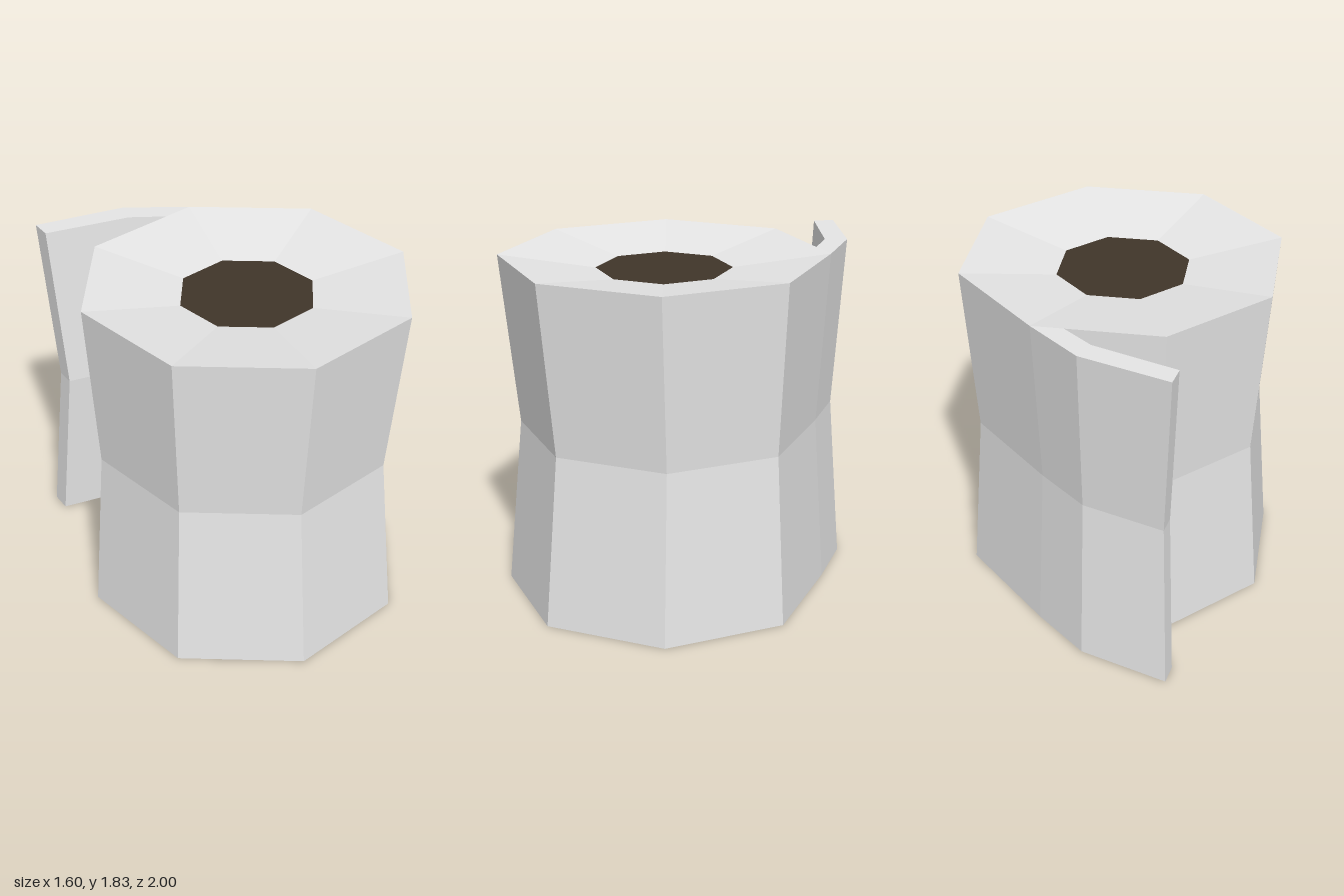
import * as THREE from 'three';

const H = 1.83, DIP = 0.07, WAIST = 0.915, CZ = 0.2;

// Builds a faceted mesh from a list of quads (corners counter-clockwise from outside)
function quadMesh(name, quads, material) {
  const pos = [];
  for (const [a, b, c, d] of quads) pos.push(...a, ...b, ...c, ...a, ...c, ...d);
  const geo = new THREE.BufferGeometry();
  geo.setAttribute('position', new THREE.Float32BufferAttribute(pos, 3));
  geo.computeVertexNormals();
  const mesh = new THREE.Mesh(geo, material);
  mesh.name = name;
  return mesh;
}

// Point of an outline at height y
const at = ([x, z], y, s = 1) => [x * s, y, z * s];

// Wall along an outline, pinched at half height
function wall(outline) {
  const quads = [];
  for (let i = 0; i < outline.length - 1; i++) {
    const p = outline[i], q = outline[i + 1];
    quads.push([at(p, 0), at(q, 0), at(q, H / 2, WAIST), at(p, H / 2, WAIST)]);
    quads.push([at(p, H / 2, WAIST), at(q, H / 2, WAIST), at(q, H), at(p, H)]);
  }
  return quads;
}

// Octagon with flat sides toward the axes, starting at the back right corner
function octagon(apothem) {
  const r = apothem / Math.cos(Math.PI / 8);
  return Array.from({ length: 8 }, (_, i) => {
    const a = Math.PI * (3 / 8 + i / 4);
    return [r * Math.cos(a), CZ - r * Math.sin(a)];
  });
}

export function createModel() {
  const group = new THREE.Group();
  group.name = 'paperRoll';
  const paper = new THREE.MeshStandardMaterial({ color: 0xe6e6e6, flatShading: true });
  paper.name = 'white paper';
  const dark = new THREE.MeshStandardMaterial({ color: 0x40352a, flatShading: true });
  dark.name = 'dark brown core';

  const outer = octagon(0.8), inner = octagon(0.33);
  const notch = [0.165, -0.6];

  // Rolled paper, open where the loose sheet leaves it
  group.add(quadMesh('rollWall', wall([notch, ...outer.slice(1), outer[0]]), paper));

  // Loose sheet: outer face, end and inner face
  const sheet = [outer[0], [0.06, -0.84], [-0.41, -1], [-0.43, -0.89], [0.01, -0.73], notch];
  const sheetQuads = wall(sheet);
  for (const ids of [[0, 1, 4, 5], [1, 2, 3, 4]]) {
    sheetQuads.push(ids.map((i) => at(sheet[i], H)));
    sheetQuads.push(ids.map((i) => at(sheet[i], 0)).reverse());
  }
  group.add(quadMesh('looseSheet', sheetQuads, paper));

  // End faces sloping in to the core
  const top = [], bottom = [];
  for (let i = 0; i < 8; i++) {
    const j = (i + 1) % 8;
    top.push([at(outer[i], H), at(outer[j], H), at(inner[j], H - DIP), at(inner[i], H - DIP)]);
    bottom.push([at(inner[i], DIP), at(inner[j], DIP), at(outer[j], 0), at(outer[i], 0)]);
  }
  group.add(quadMesh('topEnd', top, paper), quadMesh('bottomEnd', bottom, paper));

  // Dark core openings
  for (const [name, y, turn] of [['topCore', H - DIP, -1], ['bottomCore', DIP, 1]]) {
    const disc = new THREE.CircleGeometry(0.33 / Math.cos(Math.PI / 8), 8, Math.PI / 8);
    const core = new THREE.Mesh(disc, dark);
    core.rotation.x = turn * Math.PI / 2;
    core.position.set(0, y, CZ);
    core.name = name;
    group.add(core);
  }
  return group;
}
